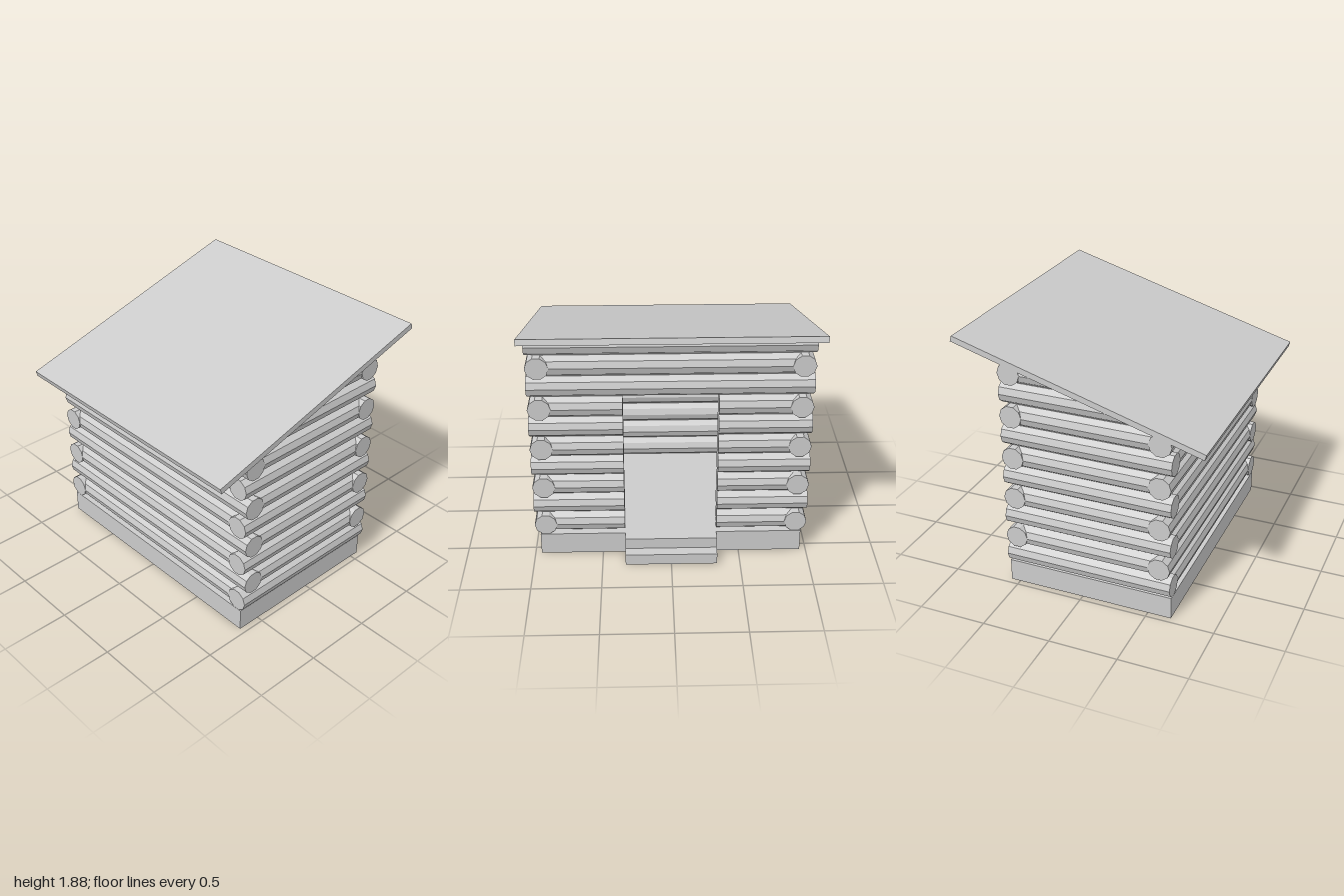
import * as THREE from 'three';

const R = 0.082;            // log radius
const ROW0 = 0.247;         // height of the lowest log axis
const STEP = 0.158;         // rise per row
const ROWS = 10;
const DOOR_ROWS = 7;        // rows interrupted by the doorway
const X = 0.912;            // axis of the side walls
const Z_FRONT = 0.59, Z_BACK = -0.487;
const SLOPE = 0.2917;       // roof fall per unit of z

const mat = new THREE.MeshStandardMaterial({ color: 0xcccccc, flatShading: true });

function add(group, name, geometry) {
  const mesh = new THREE.Mesh(geometry, mat);
  mesh.name = name;
  group.add(mesh);
  return mesh;
}

function block(group, name, x0, x1, y0, y1, z0, z1) {
  const g = new THREE.BoxGeometry(x1 - x0, y1 - y0, z1 - z0);
  add(group, name, g).position.set((x0 + x1) / 2, (y0 + y1) / 2, (z0 + z1) / 2);
}

// ten-sided log lying along z, with corners at its two sides
function logGeometry(length) {
  return new THREE.CylinderGeometry(R, R, length, 10, 1)
    .rotateY(Math.PI / 2).rotateX(Math.PI / 2);
}

function logX(group, name, x0, x1, y, z) {
  add(group, name, logGeometry(x1 - x0).rotateY(Math.PI / 2)
    .translate((x0 + x1) / 2, y, z));
}

// side log, with its front end cut along the slope of the roof
function logZ(group, name, z0, z1, x, y) {
  const g = logGeometry(z1 - z0).translate(x, y, (z0 + z1) / 2);
  const p = g.attributes.position;
  for (let i = 0; i < p.count; i++) {
    const limit = Math.max(z0, (1.592 - p.getY(i)) / SLOPE);
    if (p.getZ(i) > limit) p.setZ(i, limit);
  }
  g.computeVertexNormals();
  add(group, name, g);
}

export function createModel() {
  const cabin = new THREE.Group();
  cabin.name = 'logCabin';

  // foundation and the two entrance steps at the back
  block(cabin, 'foundation', -0.955, 0.955, 0, 0.167, -0.57, 0.672);
  block(cabin, 'upperStep', -0.333, 0.333, 0, 0.167, -0.65, -0.57);
  block(cabin, 'lowerStep', -0.333, 0.333, 0, 0.084, -0.732, -0.65);

  const walls = {};
  for (const name of ['frontWall', 'backWall', 'leftWall', 'rightWall']) {
    walls[name] = new THREE.Group();
    walls[name].name = name;
    cabin.add(walls[name]);
  }

  // rows alternate which pair of walls runs through at the corners
  for (let i = 0; i < ROWS; i++) {
    const y = ROW0 + i * STEP;
    const sideThrough = i % 2 === 0;
    const xEnd = sideThrough ? X : X + R;
    const z0 = sideThrough ? Z_BACK - R : Z_BACK;
    const z1 = sideThrough ? Z_FRONT + R : Z_FRONT;

    logZ(walls.leftWall, 'sideLog', z0, z1, X, y);
    logZ(walls.rightWall, 'sideLog', z0, z1, -X, y);

    // the low front wall stops under the eave
    if (i < 8) logX(walls.frontWall, 'frontLog', -xEnd, xEnd, y, Z_FRONT);

    // back wall with the doorway
    if (i < DOOR_ROWS) {
      logX(walls.backWall, 'doorSideLog', 0.335, xEnd, y, Z_BACK);
      logX(walls.backWall, 'doorSideLog', -xEnd, -0.335, y, Z_BACK);
    } else {
      logX(walls.backWall, 'lintelLog', -xEnd, xEnd, y, Z_BACK);
    }
  }

  // single-pitch roof slab
  const roof = add(cabin, 'roof', new THREE.BoxGeometry(2, 0.042, 1.875));
  roof.position.y = 1.598;
  roof.rotation.x = Math.atan(SLOPE);

  return cabin;
}
